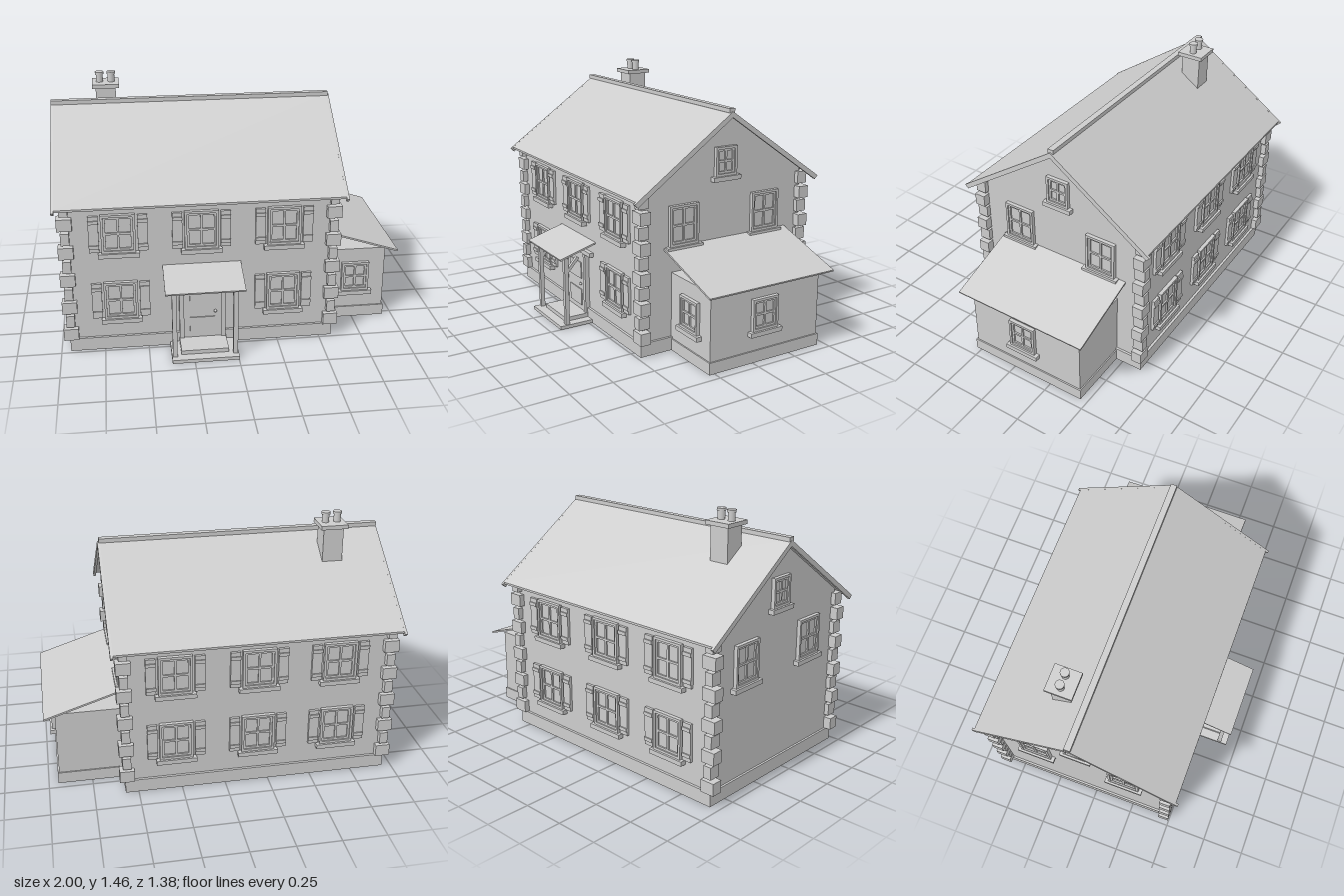
import * as THREE from 'three';

const stone = new THREE.MeshStandardMaterial({ color: 0xcccccc });
stone.name = 'pale grey';

function add(parent, name, geometry, x = 0, y = 0, z = 0) {
  const mesh = new THREE.Mesh(geometry, stone);
  mesh.name = name;
  mesh.position.set(x, y, z);
  parent.add(mesh);
  return mesh;
}

// Box given by its lower and upper limits on each axis
function box(parent, name, x0, x1, y0, y1, z0, z1) {
  return add(parent, name, new THREE.BoxGeometry(x1 - x0, y1 - y0, z1 - z0),
    (x0 + x1) / 2, (y0 + y1) / 2, (z0 + z1) / 2);
}

function rect(path, x0, x1, y0, y1) {
  path.moveTo(x0, y0);
  path.lineTo(x1, y0);
  path.lineTo(x1, y1);
  path.lineTo(x0, y1);
  path.closePath();
  return path;
}

const extrude = (shape, depth) => new THREE.ExtrudeGeometry(shape, { depth, bevelEnabled: false });

// Gable profile, symmetric about the ridge, run along x
function alongX(parent, name, points, x0, x1) {
  const shape = new THREE.Shape(points.map(([u, y]) => new THREE.Vector2(u, y)));
  const geometry = extrude(shape, x1 - x0);
  geometry.rotateY(Math.PI / 2);
  return add(parent, name, geometry, x0, 0, RIDGE_Z);
}

// Thin sloping slab: centre, size and tilt
function slab(parent, name, size, centre, rx, rz) {
  const mesh = add(parent, name, new THREE.BoxGeometry(...size), ...centre);
  mesh.rotation.set(rx, 0, rz);
  return mesh;
}

const RIDGE_Z = -0.07, LEFT = 0.56, RIGHT = -0.935, FRONT = 0.465, BACK = -0.605, MID_X = -0.187;

// Window facing local +z, origin at the bottom centre of the frame
function makeWindow(w, h, shutters) {
  const g = new THREE.Group();
  g.name = shutters ? 'shutteredWindow' : 'window';
  const b = 0.014, s = 0.012, iw = w / 2 - b;
  const casing = rect(new THREE.Shape(), -w / 2, w / 2, 0, h);
  casing.holes.push(rect(new THREE.Path(), -iw, iw, b, h - b));
  add(g, 'casing', extrude(casing, 0.022));
  const sash = rect(new THREE.Shape(), -iw, iw, b, h - b);
  const mid = h / 2;
  for (const [x0, x1] of [[-iw + s, -s / 2], [s / 2, iw - s]]) {
    for (const [y0, y1] of [[b + s, mid - s / 2], [mid + s / 2, h - b - s]]) {
      sash.holes.push(rect(new THREE.Path(), x0, x1, y0, y1));
    }
  }
  add(g, 'sash', extrude(sash, 0.014));
  box(g, 'glass', -iw, iw, b, h - b, 0, 0.005);
  box(g, 'sill', -w / 2 - 0.02, w / 2 + 0.02, -0.026, 0, -0.005, 0.034);
  if (shutters) {
    for (const side of [-1, 1]) {
      const c = side * (w / 2 + 0.04);
      box(g, 'shutter', c - 0.028, c + 0.028, 0.006, h - 0.006, 0, 0.016);
      for (const y of [0.03, h - 0.05]) {
        box(g, 'shutterBatten', c - 0.028, c + 0.028, y, y + 0.02, 0.016, 0.023);
      }
    }
  }
  return g;
}

function placeWindow(parent, w, h, x, y, z, turn, shutters = false) {
  const g = makeWindow(w, h, shutters);
  g.position.set(x, y, z);
  g.rotation.y = turn;
  parent.add(g);
}

function buildHouse(root) {
  box(root, 'plinth', RIGHT - 0.012, LEFT + 0.014, 0, 0.078, BACK - 0.015, FRONT + 0.015);
  const half = (FRONT - BACK) / 2;
  alongX(root, 'walls', [[-half, 0.07], [half, 0.07], [half, 0.932], [0, 1.307], [-half, 0.932]], RIGHT, LEFT);

  // Roof sheet, gable boards and ridge
  alongX(root, 'roof', [[-0.6, 0.9], [-0.6, 0.888], [0, 1.308], [0.6, 0.888], [0.6, 0.9], [0, 1.32]].reverse(), -0.985, 0.615);
  for (const [x0, x1] of [[-1, -0.985], [0.615, 0.63]]) {
    alongX(root, 'gableBoard', [[-0.615, 0.89], [-0.595, 0.87], [0, 1.287], [0.595, 0.87], [0.615, 0.89], [0, 1.32]], x0, x1);
  }
  box(root, 'ridgeCap', -0.998, 0.622, 1.312, 1.336, RIDGE_Z - 0.018, RIDGE_Z + 0.018);

  // Corner stones
  for (const x of [RIGHT - 0.003, LEFT + 0.003]) {
    for (const z of [BACK, FRONT]) {
      for (let i = 0; i < 10; i++) {
        const hx = i % 2 ? 0.024 : 0.042, y = 0.08 + i * 0.085;
        box(root, 'cornerStone', x - hx, x + hx, y, y + 0.07, z - 0.032, z + 0.032);
      }
    }
  }

  // Windows on the long sides
  for (const x of [-0.648, MID_X, 0.28]) {
    for (const y of [0.198, 0.61]) {
      if (x !== MID_X || y > 0.5) placeWindow(root, 0.19, 0.228, x, y, FRONT, 0, true);
      placeWindow(root, 0.19, 0.228, x, y, BACK, Math.PI, true);
    }
  }
  // Windows on the gable ends
  for (const [x, turn] of [[LEFT, Math.PI / 2], [RIGHT, -Math.PI / 2]]) {
    placeWindow(root, 0.14, 0.165, x, 0.956, RIDGE_Z, turn);
    for (const z of [0.202, -0.345]) placeWindow(root, 0.186, 0.23, x, 0.602, z, turn);
  }
}

function buildChimney(root) {
  const x = -0.682, z = -0.21;
  box(root, 'chimneyStack', x - 0.058, x + 0.058, 1.1, 1.378, z - 0.057, z + 0.057);
  box(root, 'chimneyCap', x - 0.078, x + 0.078, 1.377, 1.4, z - 0.078, z + 0.078);
  for (const dx of [-0.034, 0.034]) {
    add(root, 'chimneyPot', new THREE.CylinderGeometry(0.02, 0.02, 0.05, 24), x + dx, 1.423, z);
    add(root, 'potCollar', new THREE.CylinderGeometry(0.025, 0.025, 0.014, 24), x + dx, 1.453, z);
  }
}

function buildPorch(root) {
  const g = new THREE.Group();
  g.name = 'porch';
  g.position.x = MID_X;
  root.add(g);
  box(g, 'lowerStep', -0.19, 0.19, 0, 0.021, 0.45, 0.687);
  box(g, 'upperStep', -0.135, 0.135, 0.021, 0.045, 0.45, 0.63);

  // Door with panels, frame and knob
  box(g, 'door', -0.107, 0.107, 0.045, 0.41, 0.46, 0.484);
  box(g, 'upperPanel', -0.073, 0.073, 0.245, 0.347, 0.484, 0.49);
  box(g, 'lowerPanel', -0.073, 0.073, 0.075, 0.176, 0.484, 0.49);
  add(g, 'doorKnob', new THREE.SphereGeometry(0.009, 16, 12), 0.073, 0.214, 0.494);
  box(g, 'doorHead', -0.192, 0.192, 0.412, 0.437, 0.46, 0.49);

  // Posts and diagonal braces
  for (const side of [-1, 1]) {
    const c = side * 0.172, j = side * 0.12;
    box(g, 'doorJamb', j - 0.013, j + 0.013, 0.045, 0.412, 0.46, 0.492);
    box(g, 'post', c - 0.013, c + 0.013, 0.02, 0.433, 0.625, 0.65);
    slab(g, 'brace', [0.02, 0.105, 0.018], [c, 0.387, 0.594], -0.73, 0);
  }
  slab(g, 'porchRoof', [0.445, 0.01, 0.238], [0, 0.473, 0.578], Math.atan2(0.067, 0.225), 0);
}

function buildWing(root) {
  const g = new THREE.Group();
  g.name = 'sideWing';
  root.add(g);
  box(g, 'wingPlinth', 0.5, 0.946, 0, 0.068, -0.457, 0.283);
  box(g, 'wingWalls', 0.5, 0.938, 0.06, 0.453, -0.45, 0.275);
  slab(g, 'wingRoof', [0.465, 0.01, 0.826], [0.779, 0.522, -0.089], 0, -Math.atan2(0.143, 0.44));
  placeWindow(g, 0.165, 0.183, 0.757, 0.185, 0.275, 0);
  placeWindow(g, 0.168, 0.183, 0.938, 0.185, -0.073, Math.PI / 2);
}

export function createModel() {
  const root = new THREE.Group();
  root.name = 'cottage';
  buildHouse(root);
  buildChimney(root);
  buildPorch(root);
  buildWing(root);
  return root;
}
